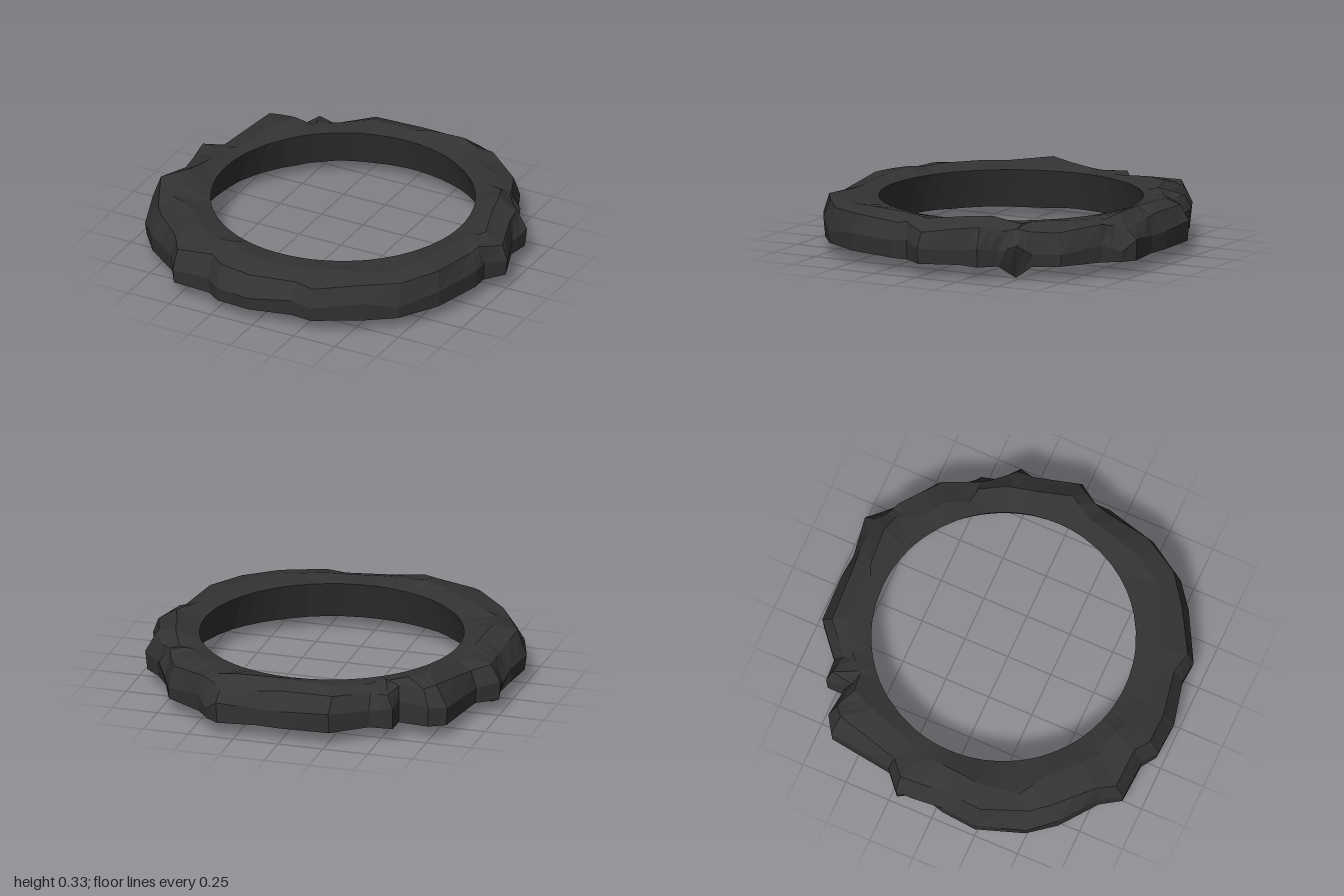
import * as THREE from 'three';

// Rough outer outline of the ring as x, z pairs, counted from +x towards +z
const OUTLINE = [
  1.0, -0.01, 0.92, 0.1, 0.92, 0.19, 0.85, 0.47, 0.72, 0.69, 0.57, 0.8, 0.32, 0.94, 0.2, 0.93,
  -0.04, 0.985, -0.23, 0.975, -0.31, 0.92, -0.53, 0.91, -0.6, 0.8, -0.8, 0.65, -0.91, 0.51,
  -1.0, 0.25, -0.98, 0.05, -0.985, -0.12, -1.0, -0.21, -0.89, -0.3, -0.84, -0.66, -0.75, -0.71,
  -0.58, -0.69, -0.58, -0.8, -0.45, -0.81, -0.27, -0.96, 0.0, -0.97, 0.13, -0.96, 0.35, -0.99,
  0.42, -0.94, 0.49, -0.85, 0.7, -0.72, 0.76, -0.58, 0.81, -0.51, 0.85, -0.42, 0.94, -0.34,
  0.92, -0.22,
];

// Raised knobs on the top and points hanging from the rim: x, z, height change
const KNOBS = [
  [-0.85, 0.2, 0.04], [-0.65, 0.66, 0.04], [-0.3, 0.83, 0.03], [0.15, -0.82, 0.04],
  [0.82, -0.28, 0.035], [-0.66, -0.6, 0.02],
];
const SPIKES = [[-0.985, -0.12, -0.06], [0.81, -0.51, -0.075]];

const UP = new THREE.Vector3(0, 1, 0);
const CENTRE_Z = -0.025;
const TOP_RADIUS = 0.705;
const FOOT_RADIUS = 0.78;

function seeded(seed) {
  return () => {
    seed = (seed * 16807) % 2147483647;
    return (seed / 2147483647) * 2 - 1;
  };
}

function bump(list, x, z, width) {
  return list.reduce((sum, [bx, bz, h]) =>
    sum + h * Math.exp(-((x - bx) ** 2 + (z - bz) ** 2) / (width * width)), 0);
}

// Point of the smooth inner wall in the direction of x, z
function onWall(x, z, radius, y) {
  const angle = Math.atan2(z - CENTRE_Z, x);
  return new THREE.Vector3(Math.cos(angle) * radius, y, CENTRE_Z + Math.sin(angle) * radius);
}

// Open cross-section: up the flared inner wall, over the top, down the outside
function makeSection(x, z, rand) {
  const rough = z > 0.1 ? 0.7 : 1;
  const inner = onWall(x, z, TOP_RADIUS, 0.28);
  const outer = new THREE.Vector3(x, 0, z);
  const point = (t, y, jitterT, jitterY) => {
    const p = inner.clone().lerp(outer, t + rand() * jitterT * rough);
    p.applyAxisAngle(UP, rand() * jitterT * 0.25);
    p.y = y + rand() * jitterY * rough + bump(KNOBS, p.x, p.z, 0.13);
    return p;
  };
  // Foot of the outer face, drawn in and down at a spike
  const drop = bump(SPIKES, x, z, 0.05);
  const foot = inner.clone().lerp(outer, 0.97 + 4 * drop).setY(0.075 + drop);
  return [
    onWall(x, z, FOOT_RADIUS, 0.066 + rand() * 0.005),
    inner,
    point(0.46, 0.294, 0.15, 0.012),
    point(0.85, 0.26, 0.09, 0.025),
    point(1, 0.16, 0.01, 0.03),
    foot,
  ];
}

// Halfway section: straight facets outside, true curve on the inner wall
function makeMidSection(a, b) {
  return a.map((p, k) => {
    const m = p.clone().lerp(b[k], 0.5);
    if (k === 0) return onWall(m.x, m.z, FOOT_RADIUS, m.y);
    return k === 1 ? onWall(m.x, m.z, TOP_RADIUS, m.y) : m;
  });
}

function makeRingGeometry() {
  const rand = seeded(4127);
  const corners = [];
  for (let i = 0; i < OUTLINE.length; i += 2) {
    corners.push(makeSection(OUTLINE[i], OUTLINE[i + 1], rand));
  }
  const sections = corners.flatMap((c, i) =>
    [c, makeMidSection(c, corners[(i + 1) % corners.length])]);

  const positions = [];
  const add = (...points) => points.forEach((p) => positions.push(p.x, p.y, p.z));
  sections.forEach((section, i) => {
    const next = sections[(i + 1) % sections.length];
    for (let k = 0; k < section.length - 1; k++) {
      add(section[k], next[k], next[k + 1], section[k], next[k + 1], section[k + 1]);
    }
  });
  const geometry = new THREE.BufferGeometry();
  geometry.setAttribute('position', new THREE.Float32BufferAttribute(positions, 3));
  geometry.computeVertexNormals();
  return geometry;
}

export function createModel() {
  const group = new THREE.Group();
  group.name = 'stoneRing';
  // The band is a hollow shell, open underneath
  const stone = new THREE.MeshStandardMaterial({
    color: 0x333333, flatShading: true, side: THREE.DoubleSide,
  });
  stone.name = 'dark stone';
  const ring = new THREE.Mesh(makeRingGeometry(), stone);
  ring.name = 'roughStoneBand';
  group.add(ring);
  return group;
}
